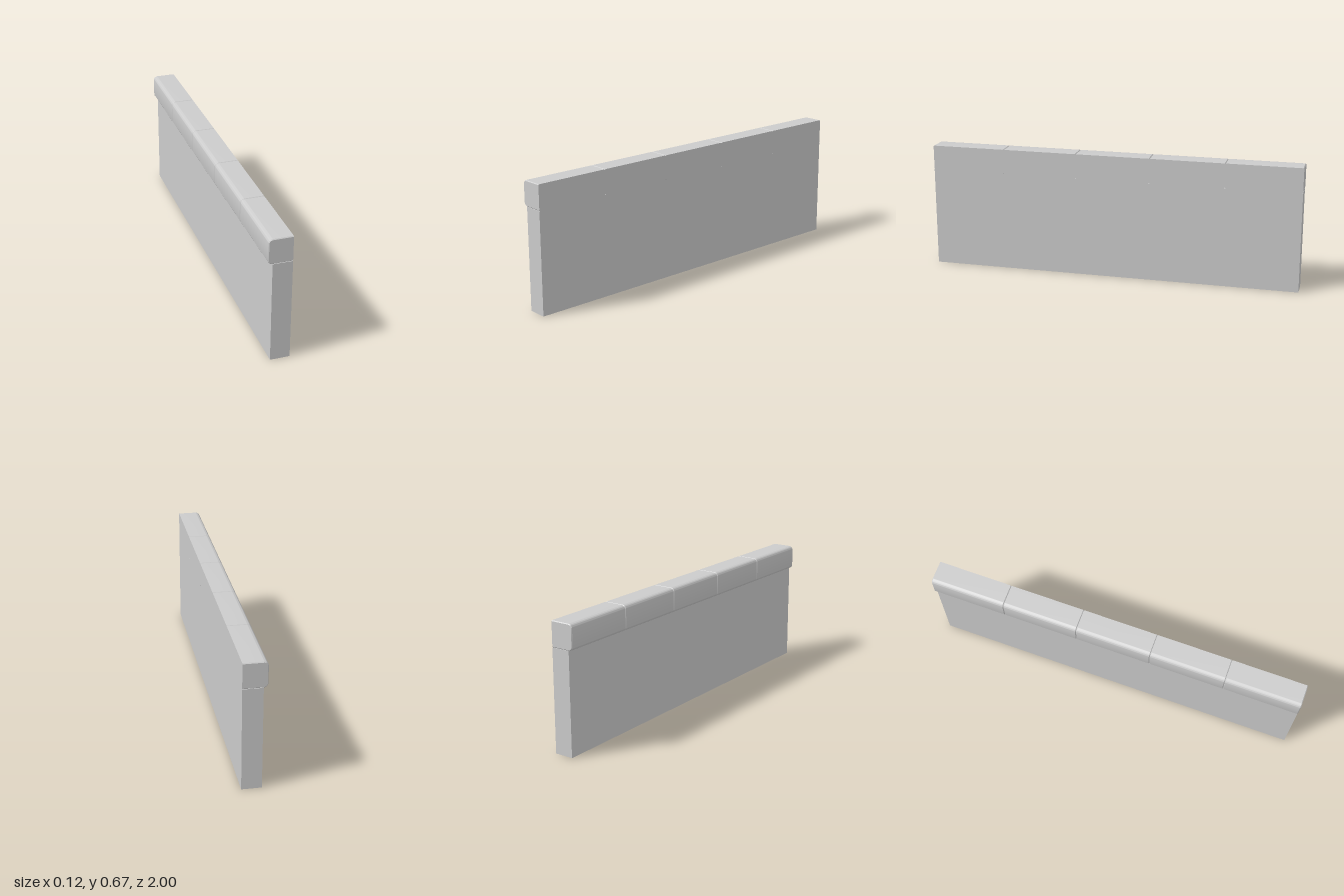
import * as THREE from 'three';
import { toCreasedNormals } from 'three/addons/utils/BufferGeometryUtils.js';

const LENGTH = 2, STONES = 5, BEVEL = 0.004;
const LEFT = -0.061, RIGHT = 0.061, WALL_LEFT = -0.039;
const SEAT = 0.535, TOP = 0.667, RADIUS = 0.022;

// One coping stone: rounded on the -x side, flush with the wall on +x
function copingGeometry(length) {
  const outer = RIGHT + BEVEL;
  const s = new THREE.Shape();
  s.moveTo(outer, SEAT);
  s.lineTo(outer, TOP);
  s.lineTo(LEFT + RADIUS, TOP);
  s.absarc(LEFT + RADIUS, TOP - RADIUS, RADIUS, Math.PI / 2, Math.PI, false);
  s.lineTo(LEFT, SEAT + RADIUS);
  s.absarc(LEFT + RADIUS, SEAT + RADIUS, RADIUS, Math.PI, Math.PI * 1.5, false);
  s.closePath();

  const geo = new THREE.ExtrudeGeometry(s, {
    depth: length - 2 * BEVEL, curveSegments: 8,
    bevelThickness: BEVEL, bevelSize: BEVEL, bevelOffset: -BEVEL, bevelSegments: 1,
  });
  geo.translate(0, 0, BEVEL - length / 2);

  // Flatten the flush side so only the other edges stay chamfered
  const p = geo.attributes.position;
  for (let i = 0; i < p.count; i++) p.setX(i, Math.min(p.getX(i), RIGHT));
  return toCreasedNormals(geo, 0.5);
}

export function createModel() {
  const group = new THREE.Group();
  group.name = 'copedWall';
  const material = new THREE.MeshStandardMaterial({ color: 0xcccccc });

  // Wall body
  const wall = new THREE.Mesh(new THREE.BoxGeometry(RIGHT - WALL_LEFT, SEAT, LENGTH), material);
  wall.name = 'wall';
  wall.position.set((RIGHT + WALL_LEFT) / 2, SEAT / 2, 0);
  group.add(wall);

  // Row of coping stones along the top
  const step = LENGTH / STONES;
  const geo = copingGeometry(step);
  for (let i = 0; i < STONES; i++) {
    const stone = new THREE.Mesh(geo, material);
    stone.name = `copingStone${i + 1}`;
    stone.position.z = (i + 0.5) * step - LENGTH / 2;
    group.add(stone);
  }
  return group;
}
